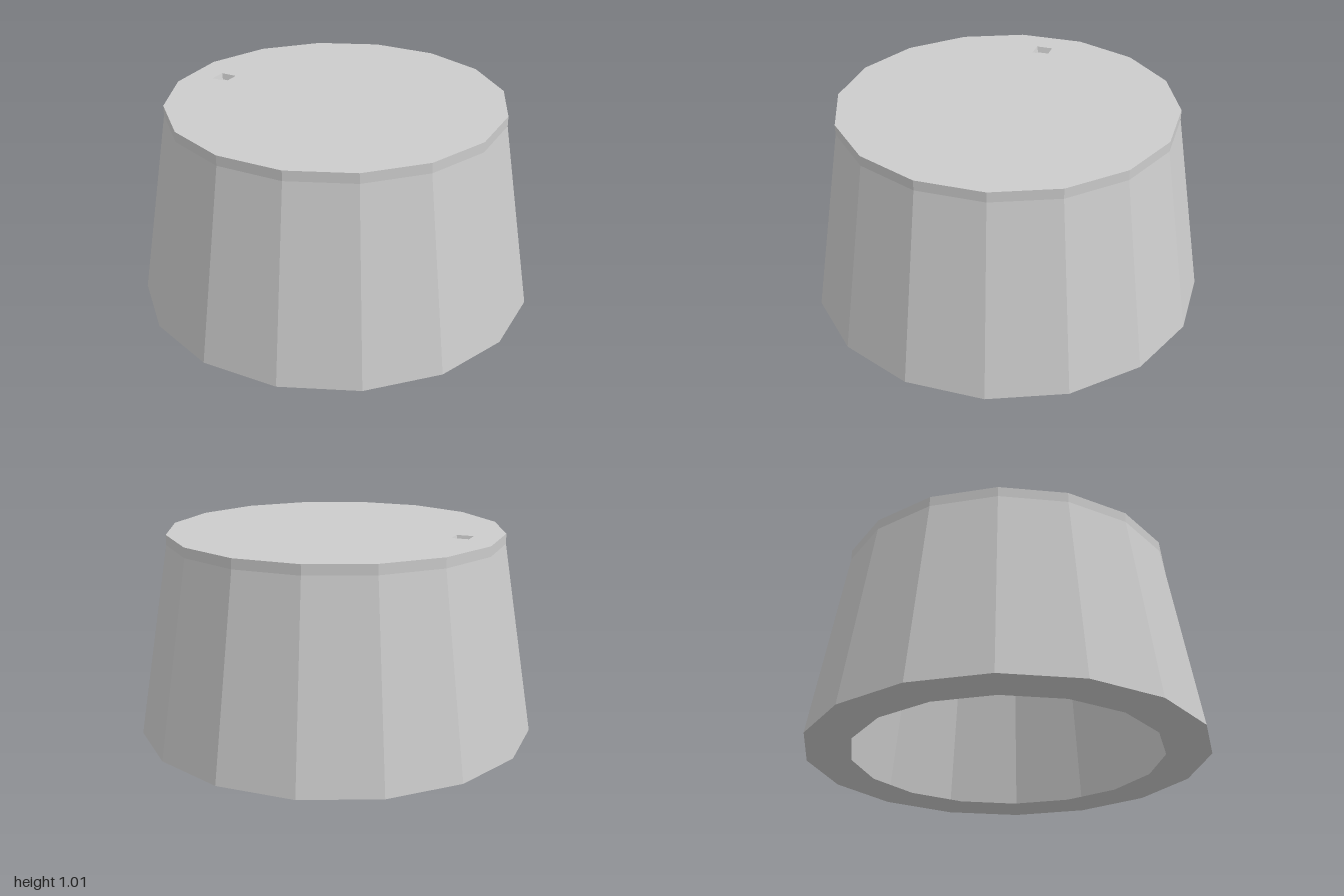
import * as THREE from 'three';

const SIDES = 16;
const TURN = THREE.MathUtils.degToRad(5.9);
const HEIGHT = 1.015;
const R_TOP = 0.845;
const R_BASE = 1.005;
const BAND_Y = 0.965;

const material = new THREE.MeshStandardMaterial({
  color: 0xcccccc, flatShading: true, side: THREE.DoubleSide,
});

// Faceted ring of surfaces turned around the y axis
function turned(name, profile, sides = SIDES, turn = TURN) {
  const points = profile.map(([r, y]) => new THREE.Vector2(r, y));
  const mesh = new THREE.Mesh(new THREE.LatheGeometry(points, sides, turn), material);
  mesh.name = name;
  return mesh;
}

// Polygon corners matching the turned parts, in shape space (x, -z)
function corners(radius, sides, turn, cx = 0, cz = 0) {
  return Array.from({ length: sides }, (_, i) => {
    const a = turn + (i / sides) * Math.PI * 2;
    return new THREE.Vector2(cx + radius * Math.sin(a), -(cz + radius * Math.cos(a)));
  });
}

export function createModel() {
  const group = new THREE.Group();
  group.name = 'taperedTub';

  // Hollow shell: flat bottom lip, sloping wall and short upright edge
  group.add(turned('bottomLip', [[0.78, 0], [R_BASE, 0]]));
  group.add(turned('slopingWall', [[R_BASE, 0], [R_TOP, BAND_Y]]));
  group.add(turned('topEdge', [[R_TOP, BAND_Y], [R_TOP, HEIGHT]]));

  // Flat top with a small square opening
  const pit = { x: -0.578, z: -0.302, radius: 0.06, turn: THREE.MathUtils.degToRad(16) };
  const shape = new THREE.Shape(corners(R_TOP, SIDES, TURN));
  shape.holes.push(new THREE.Path(corners(pit.radius, 4, pit.turn, pit.x, pit.z)));
  const top = new THREE.Mesh(new THREE.ShapeGeometry(shape).rotateX(-Math.PI / 2), material);
  top.name = 'topPlate';
  top.position.y = HEIGHT;
  group.add(top);

  // Shallow square recess below the opening
  const recess = turned('squareRecess', [[0, -0.03], [0.048, -0.03], [pit.radius, 0]], 4, pit.turn);
  recess.position.set(pit.x, HEIGHT, pit.z);
  group.add(recess);

  return group;
}
